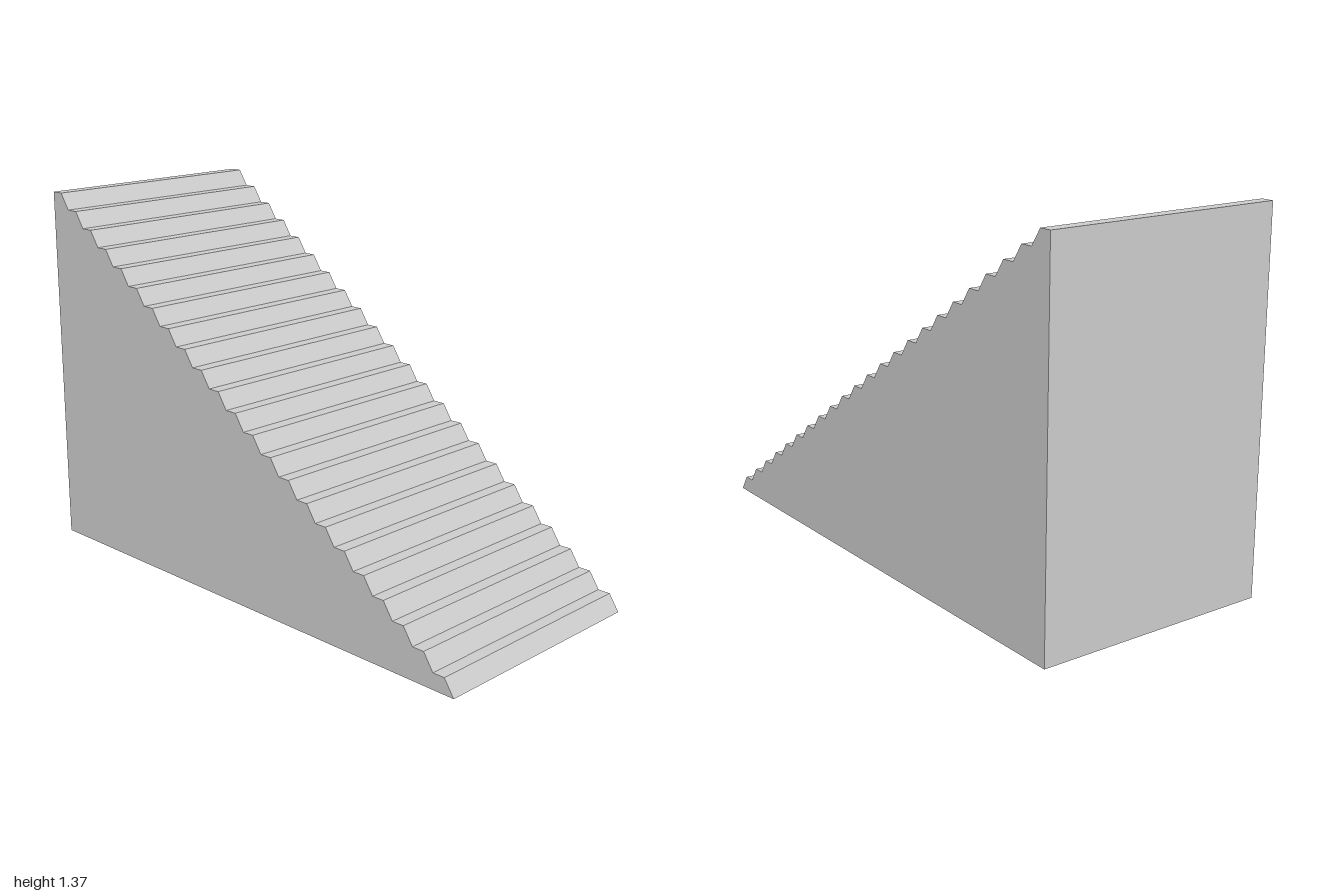
import * as THREE from 'three';

export function createModel() {
  const group = new THREE.Group();
  const steps = 23, width = 0.9, height = 1.37, length = 2;
  const rise = height / steps, run = length / steps, lean = 0.04;

  // Side profile: u runs from the front foot (0) to the back wall (length)
  const profile = new THREE.Shape();
  profile.moveTo(0, 0);
  for (let i = 0; i < steps; i++) {
    profile.lineTo(i * run + lean, (i + 1) * rise); // sloping riser
    profile.lineTo((i + 1) * run, (i + 1) * rise); // level tread
  }
  profile.lineTo(length, 0.007); // back wall, underside rises very slightly
  profile.closePath();

  // Extrude across the width, then turn so that u points to -z
  const geometry = new THREE.ExtrudeGeometry(profile, { depth: width, bevelEnabled: false });
  geometry.translate(-length / 2, 0, -width / 2);
  geometry.rotateY(Math.PI / 2);

  const material = new THREE.MeshStandardMaterial({ color: 0xcccccc, flatShading: true });
  const staircase = new THREE.Mesh(geometry, material);
  staircase.name = 'staircase';
  group.add(staircase);
  return group;
}
